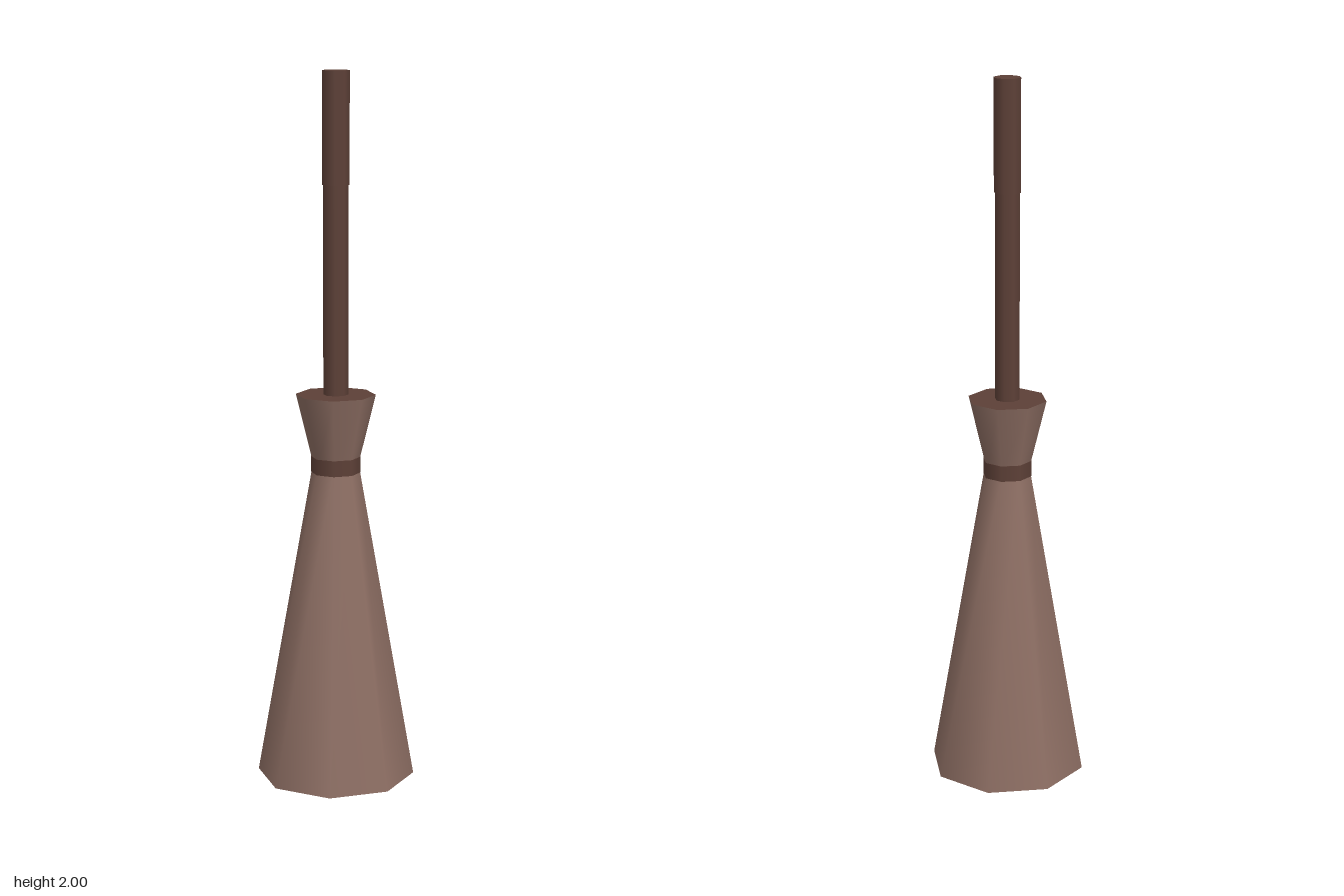
import * as THREE from 'three';

export function createModel() {
  const straw = new THREE.MeshStandardMaterial({ color: 0x8d6e63 });
  straw.name = 'straw brown';
  const wood = new THREE.MeshStandardMaterial({ color: 0x5d4037 });
  wood.name = 'dark wood';

  const model = new THREE.Group();
  model.name = 'broom';

  // Eight-sided tapered section between two heights
  function section(name, rBottom, rTop, y0, y1, material) {
    const geometry = new THREE.CylinderGeometry(rTop, rBottom, y1 - y0, 8);
    const mesh = new THREE.Mesh(geometry, material);
    mesh.name = name;
    mesh.position.y = (y0 + y1) / 2;
    model.add(mesh);
  }

  // Bristles flare down from the binding
  section('bristles', 0.224, 0.066, 0, 0.9, straw);
  // Bundle above the binding: side, top cap, bottom cap
  section('bundleTop', 0.064, 0.112, 0.91, 1.107, [straw, wood, straw]);
  section('binding', 0.07, 0.07, 0.885, 0.93, wood);

  // Handle with a slightly thicker grip
  section('handle', 0.035, 0.035, 1.1, 1.7, wood);
  section('grip', 0.038, 0.038, 1.69, 2, wood);

  return model;
}
